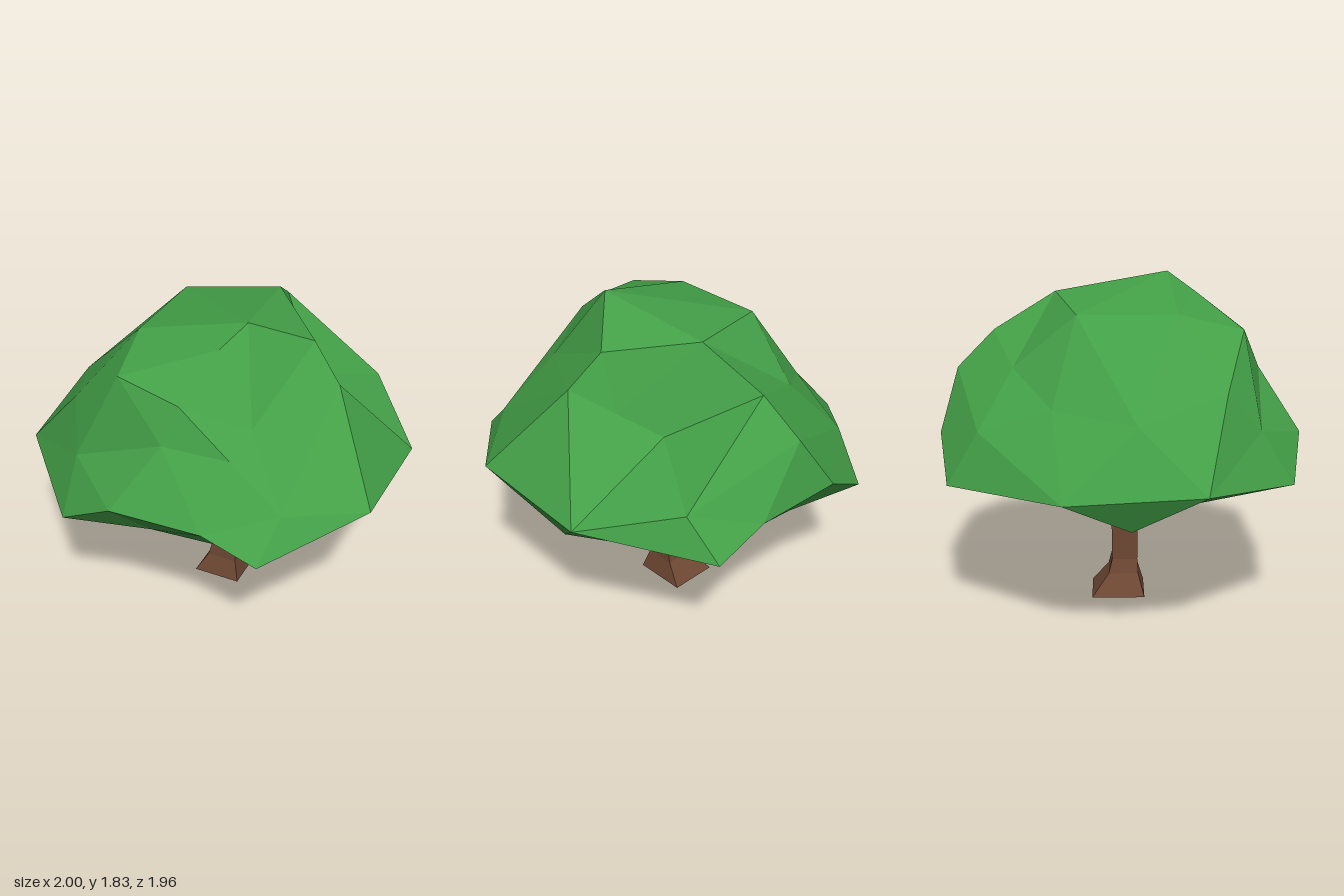
import * as THREE from 'three';
import { ConvexGeometry } from 'three/addons/geometries/ConvexGeometry.js';

const material = (color) => new THREE.MeshStandardMaterial({ color, flatShading: true });

// Faceted cap over a rim loop (side 1: above, -1: below). Corners are connected by their
// direction from the centre, with the rim laid on the equator, so dents are allowed.
function facetedCap(inner, rim, centreY, side) {
  const corners = [...inner, ...rim];
  const dirs = corners.map(([x, y, z], i) =>
    new THREE.Vector3(x, i < inner.length ? y - centreY : 0, z).normalize());
  const pole = dirs.length;
  dirs.push(new THREE.Vector3(0, -side, 0));
  const pos = new ConvexGeometry(dirs).attributes.position;
  const v = new THREE.Vector3();
  const out = [];
  for (let i = 0; i < pos.count; i += 3) {
    const face = [0, 1, 2].map((k) => {
      v.fromBufferAttribute(pos, i + k);
      return dirs.reduce((b, d, n) => (d.distanceToSquared(v) < dirs[b].distanceToSquared(v) ? n : b), 0);
    });
    if (!face.includes(pole)) face.forEach((n) => out.push(...corners[n]));
  }
  const geometry = new THREE.BufferGeometry();
  geometry.setAttribute('position', new THREE.Float32BufferAttribute(out, 3));
  geometry.computeVertexNormals();
  return geometry;
}

// Four-sided column from rings of [y, minX, maxX, minZ, maxZ].
function squareColumn(rings) {
  const loops = rings.map(([y, x0, x1, z0, z1]) => [[x0, y, z1], [x1, y, z1], [x1, y, z0], [x0, y, z0]]);
  const out = [];
  const quad = (a, b, c, d) => out.push(...a, ...b, ...c, ...a, ...c, ...d);
  for (let i = 0; i < loops.length - 1; i++) {
    for (let k = 0; k < 4; k++) {
      const n = (k + 1) % 4;
      quad(loops[i][k], loops[i][n], loops[i + 1][n], loops[i + 1][k]);
    }
  }
  const [a, b, c, d] = loops[0];
  quad(d, c, b, a);
  quad(...loops[loops.length - 1]);
  const geometry = new THREE.BufferGeometry();
  geometry.setAttribute('position', new THREE.Float32BufferAttribute(out, 3));
  geometry.computeVertexNormals();
  return geometry;
}

export function createModel() {
  const tree = new THREE.Group();
  tree.name = 'tree';
  const add = (name, geometry, mat) => {
    const mesh = new THREE.Mesh(geometry, mat);
    mesh.name = name;
    tree.add(mesh);
  };

  // Widest edge of the crown
  const rim = [[1, 1, 0.42], [1, 0.95, -0.29], [-1, 0.9, 0.42], [-1, 0.86, -0.29]];
  for (const s of [1, -1]) {
    rim.push([-0.52, 0.81, 0.91 * s], [-0.19, 1.01, 0.98 * s], [0.31, 1, 0.95 * s], [0.6, 0.88, 0.93 * s]);
  }

  // Leafy top
  const top = [
    [0.25, 1.83, 0.27], [0.16, 1.73, -0.36], [0.16, 1.73, 0.42], [0.51, 1.66, 0.01],
    [-0.35, 1.68, -0.23], [-0.35, 1.68, 0.3], [-0.29, 1.39, -0.57], [-0.29, 1.59, 0.65],
    [0.07, 1.53, -0.7], [0.07, 1.53, 0.69], [0.68, 1.48, 0.08],
    [0.4, 1.26, -0.33], [0.54, 1.37, -0.125], [0.4, 1.4, 0.55], [0.355, 1.3, 0.71],
    [0.01, 1.33, -0.9], [0.01, 1.33, 0.77],
    [-0.62, 1.24, -0.35], [-0.62, 1.33, 0.54], [-0.83, 1.21, 0.08],
    [0.64, 1.1, -0.74], [0.64, 1.07, 0.73], [-0.52, 1.1, -0.74], [-0.52, 1.1, 0.73],
  ];
  const leaves = material(0x43a047);
  add('crownTop', facetedCap(top, rim, 0.8, 1), leaves);

  // Hollowed underside
  const underside = [
    [-0.04, 0.83, 0.82], [-0.04, 0.83, -0.82],
    [0.49, 0.63, 0.55], [0.49, 0.63, -0.42], [0.82, 0.68, 0], [-0.9, 0.69, 0.05],
    [-0.44, 0.6, 0.02], [0, 0.75, 0.05],
  ];
  add('crownUnderside', facetedCap(underside, rim, 1, -1), leaves);

  // Trunk with spread foot and flared top
  add('trunk', squareColumn([
    [0, -0.135, 0.14, -0.16, 0.14],
    [0.12, -0.065, 0.11, -0.065, 0.105],
    [0.2, -0.045, 0.105, -0.045, 0.1],
    [0.36, -0.045, 0.1, -0.045, 0.1],
    [0.47, -0.045, 0.1, -0.055, 0.11],
    [0.8, -0.26, 0.31, -0.17, 0.32],
  ]), material(0x6d4733));

  return tree;
}
